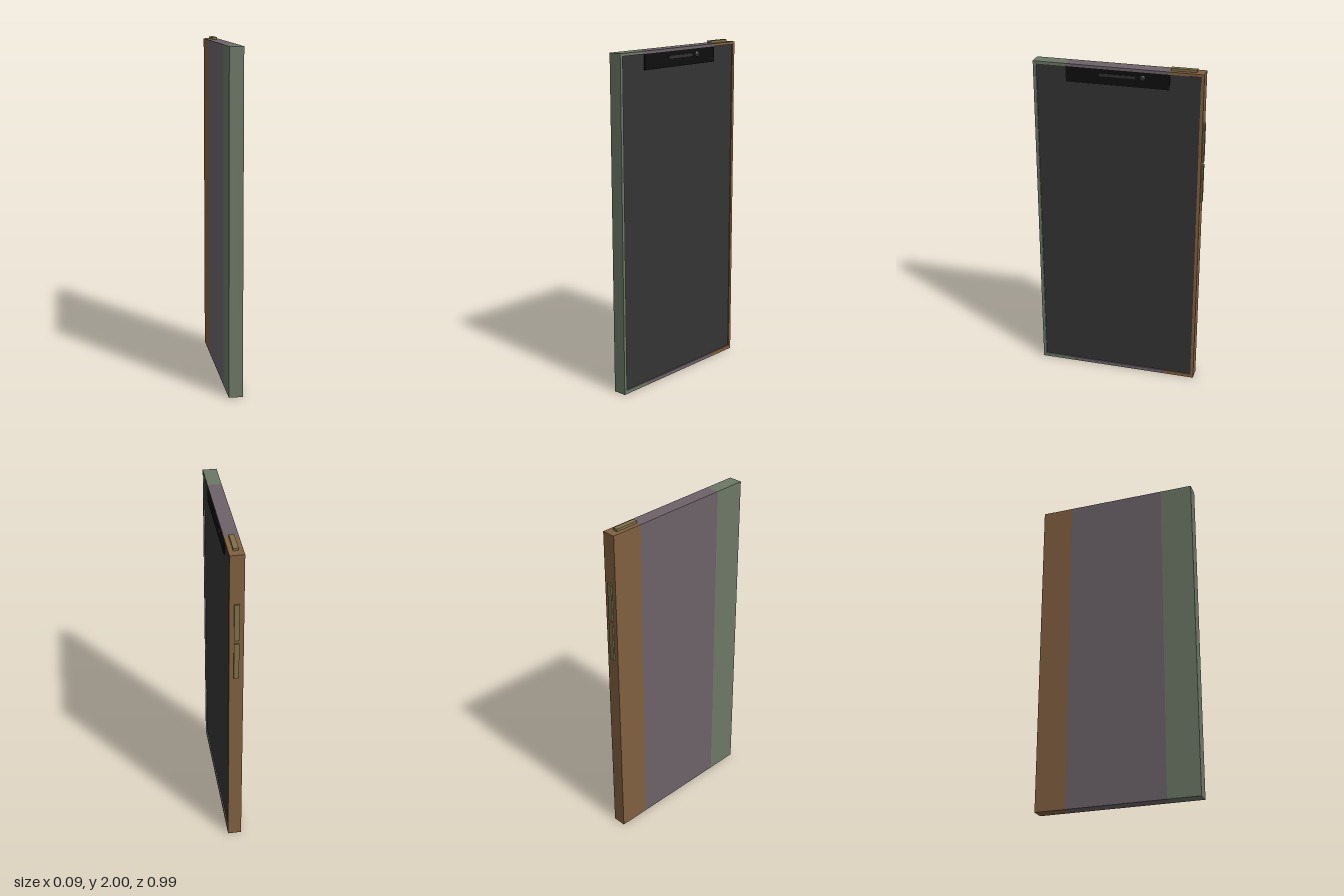
import * as THREE from 'three';

const FRONT = 0.037, BACK = -0.044, TOP = 1.986;   // screen faces +x
const RIM_Y = 0.022, RIM_Z = 0.018, FLOOR = 0.027; // rim widths and recess floor
const Z0 = -0.488, Z1 = 0.495;

const mat = (color) => new THREE.MeshStandardMaterial({ color });
const green = mat(0x6c7765), mauve = mat(0x6c6268), brown = mat(0x816040);
const olive = mat(0x7e7149), glass = mat(0x343434), black = mat(0x0e0e0e), grey = mat(0x303030);

export function createModel() {
  const group = new THREE.Group();
  group.name = 'phone';

  const add = (name, geometry, material) => {
    const mesh = new THREE.Mesh(geometry, material);
    mesh.name = name;
    group.add(mesh);
    return mesh;
  };
  // box given by its limits on each axis
  const box = (name, [xa, xb], [ya, yb], [za, zb], material) =>
    add(name, new THREE.BoxGeometry(xb - xa, yb - ya, zb - za), material)
      .position.set((xa + xb) / 2, (ya + yb) / 2, (za + zb) / 2);

  // tray cross-section: back plate with a rim at top and bottom
  const tray = new THREE.Shape([
    [BACK, 0], [FRONT, 0], [FRONT, RIM_Y], [FLOOR, RIM_Y],
    [FLOOR, TOP - RIM_Y + 0.006], [FRONT, TOP - RIM_Y + 0.006], [FRONT, TOP], [BACK, TOP],
  ].map(([x, y]) => new THREE.Vector2(x, y)));

  // three coloured bands of the case
  const bands = [
    ['caseBrownBand', Z0 + RIM_Z, -0.297, brown],
    ['caseMiddleBand', -0.297, 0.3, mauve],
    ['caseGreenBand', 0.3, Z1 - RIM_Z, green],
  ];
  for (const [name, za, zb, material] of bands) {
    const geometry = new THREE.ExtrudeGeometry(tray, { depth: zb - za, bevelEnabled: false });
    add(name, geometry, material).position.z = za;
  }

  // upright edges closing the tray
  box('brownEdge', [BACK, FRONT], [0, TOP], [Z0, Z0 + RIM_Z], brown);
  box('greenEdge', [BACK, FRONT], [0, TOP], [Z1 - RIM_Z, Z1], green);

  // recessed screen, notch, earpiece and camera
  box('screen', [FLOOR - 0.005, FLOOR + 0.003], [RIM_Y, 1.97], [Z0 + RIM_Z, Z1 - RIM_Z], glass);
  box('notch', [FLOOR, FRONT - 0.001], [1.88, 1.97], [-0.295, 0.302], black);
  box('earpiece', [FLOOR, FRONT + 0.002], [1.928, 1.944], [-0.099, 0.106], grey);
  const camera = add('cameraLens', new THREE.SphereGeometry(0.017, 24, 16), grey);
  camera.scale.x = 0.5;
  camera.position.set(FRONT - 0.002, 1.937, -0.141);

  // power button on the top, two volume buttons on the brown edge
  box('powerButton', [-0.018, 0.011], [TOP - 0.005, 2], [-0.442, -0.296], olive);
  for (const [name, low, high] of [['volumeUp', 1.46, 1.69], ['volumeDown', 1.21, 1.44]]) {
    box(name, [-0.018, 0.011], [low, high], [-0.497, Z0 + 0.005], olive);
  }
  return group;
}
